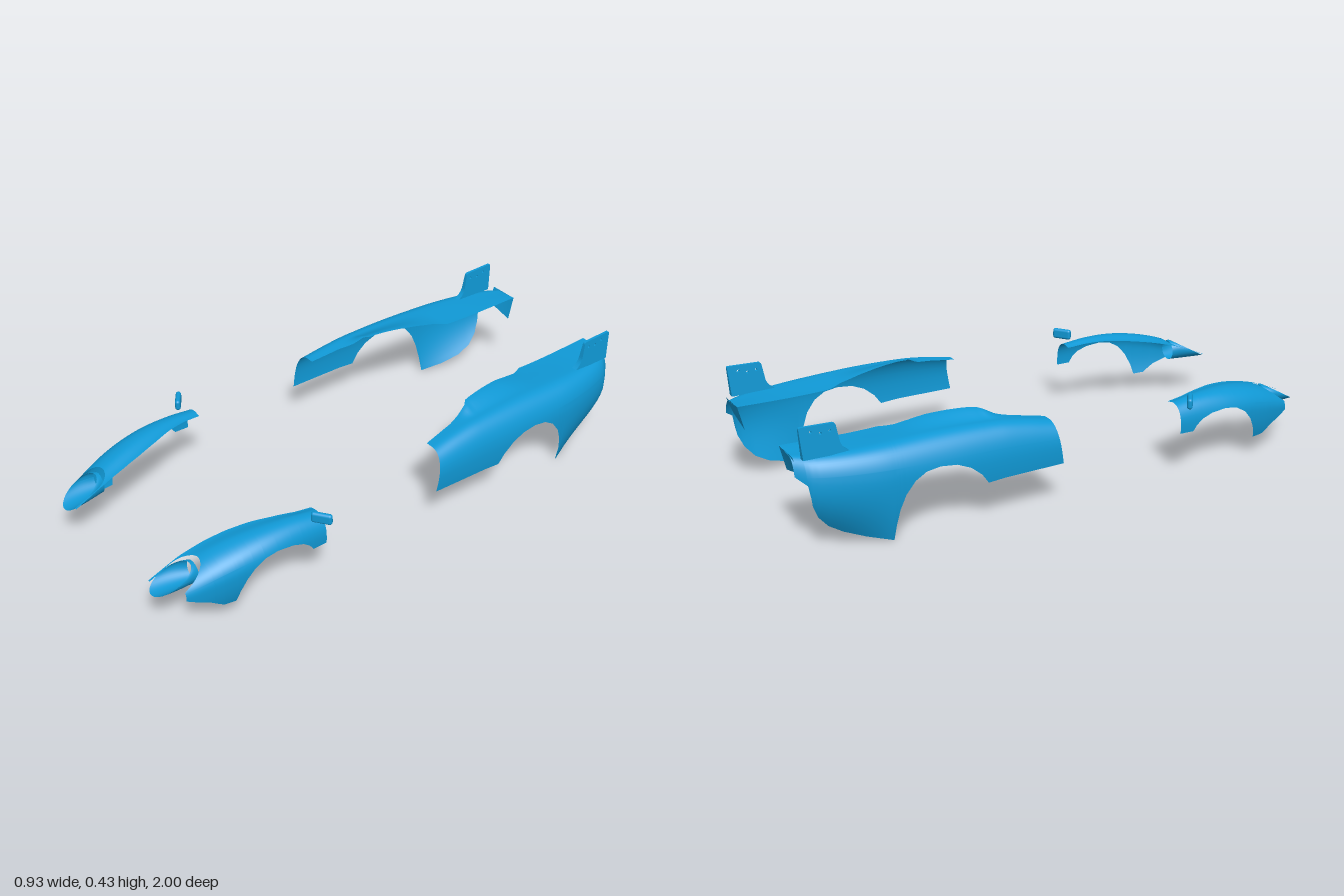
import * as THREE from 'three';
import { RoundedBoxGeometry } from 'three/addons/geometries/RoundedBoxGeometry.js';

const paint = new THREE.MeshStandardMaterial({ color: 0x1099d6, side: THREE.DoubleSide });

// Tables are [z, value] pairs in ascending z
function linear(table, z) {
  let i = 0;
  while (i < table.length - 2 && z > table[i + 1][0]) i++;
  const [z0, a] = table[i], [z1, b] = table[i + 1];
  return a + (b - a) * THREE.MathUtils.clamp((z - z0) / (z1 - z0), 0, 1);
}

function smooth(table, z) {
  let i = 0;
  while (i < table.length - 2 && z > table[i + 1][0]) i++;
  const slope = (k) => {
    const p = table[Math.max(k - 1, 0)], q = table[Math.min(k + 1, table.length - 1)];
    return (q[1] - p[1]) / (q[0] - p[0]);
  };
  const [z0, a] = table[i], [z1, b] = table[i + 1], h = z1 - z0;
  const t = THREE.MathUtils.clamp((z - z0) / h, 0, 1), t2 = t * t, t3 = t2 * t;
  return (2 * t3 - 3 * t2 + 1) * a + (t3 - 2 * t2 + t) * h * slope(i)
    + (3 * t2 - 2 * t3) * b + (t3 - t2) * h * slope(i + 1);
}

// Surface through rows of points
function loft(rows, name) {
  const n = rows[0].length, pos = [], idx = [];
  rows.forEach((r) => r.forEach((p) => pos.push(...p)));
  for (let i = 0; i < rows.length - 1; i++) {
    for (let j = 0; j < n - 1; j++) {
      const a = i * n + j, b = a + n;
      idx.push(a, b, a + 1, b, b + 1, a + 1);
    }
  }
  const g = new THREE.BufferGeometry();
  g.setAttribute('position', new THREE.Float32BufferAttribute(pos, 3));
  g.setIndex(idx);
  g.computeVertexNormals();
  return part(g, name);
}

function part(geometry, name) {
  const m = new THREE.Mesh(geometry, paint);
  m.name = name;
  return m;
}

// Cross-section of a fender: inner roof, rounded shoulder, flank down to the lower edge
const POWER = 2.3;
function section(f, z, { from, to } = {}) {
  const xi = linear(f.innerX, z), yi = smooth(f.innerY, z);
  const xc = smooth(f.crownX, z), yt = smooth(f.crownY, z);
  const xo = smooth(f.outerX, z), ys = smooth(f.waistY, z);
  const yb = linear(f.lowerY, z), tuck = linear(f.tuck, z);
  const roof = (x) => {
    if (x < xc) return yi + (yt - yi) * THREE.MathUtils.smoothstep(x, xi, xc);
    return ys + (yt - ys) * Math.pow(Math.max(0, 1 - Math.pow((x - xc) / (xo - xc), POWER)), 1 / POWER);
  };
  const flank = (y) => y < ys ? xo - tuck * (ys - y) ** 2
    : xc + (xo - xc) * Math.pow(Math.max(0, 1 - Math.pow((y - ys) / (yt - ys), POWER)), 1 / POWER);
  const split = Math.max(yb, ys + 0.42 * (yt - ys)), xs = flank(split);
  const x0 = Math.min(from ?? xi, xs), x1 = to ?? xs, pts = [];
  for (let i = 0; i <= 24; i++) {
    const x = x0 + (x1 - x0) * Math.sin(i / 24 * Math.PI / 2);
    pts.push([x, roof(x), z]);
  }
  if (to === undefined) {
    for (let i = 1; i <= 14; i++) {
      const y = split + (yb - split) * i / 14;
      pts.push([flank(y), y, z]);
    }
  }
  return pts;
}

// Even stations plus every corner of the lower edge
function stations(f, z0, z1, count) {
  const zs = f.lowerY.map((p) => p[0]).filter((z) => z > z0 && z < z1);
  for (let i = 0; i <= count; i++) zs.push(z0 + (z1 - z0) * i / count);
  zs.sort((a, b) => a - b);
  return zs.filter((z, i) => i === 0 || z - zs[i - 1] > 1e-4);
}

const front = {
  innerX: [[0.4, 0.34], [0.47, 0.333], [0.55, 0.312], [0.62, 0.287], [0.7, 0.265], [0.78, 0.25], [0.86, 0.24], [0.98, 0.234]],
  innerY: [[0.4, 0.26], [0.55, 0.272], [0.7, 0.258], [0.85, 0.222], [0.98, 0.17]],
  crownX: [[0.4, 0.37], [0.6, 0.35], [0.8, 0.31], [1, 0.29]],
  crownY: [[0.4, 0.265], [0.5, 0.278], [0.6, 0.28], [0.7, 0.27], [0.8, 0.247], [0.9, 0.208], [1, 0.165]],
  outerX: [[0.4, 0.425], [0.6, 0.428], [0.7, 0.42], [0.8, 0.402], [0.88, 0.38], [0.92, 0.366]],
  waistY: [[0.4, 0.19], [0.7, 0.185], [0.8, 0.17], [0.92, 0.145]],
  lowerY: [[0.4, 0.165], [0.46, 0.165], [0.475, 0.187], [0.5, 0.206], [0.54, 0.22], [0.6, 0.226], [0.65, 0.218],
    [0.69, 0.195], [0.72, 0.16], [0.742, 0.115], [0.752, 0.075], [0.795, 0.077], [0.84, 0.107], [0.92, 0.14]],
  tuck: [[0.4, 1], [0.75, 1.5], [0.92, 1.5]],
};

const rear = {
  innerX: [[-1, 0.195], [-0.75, 0.2], [-0.66, 0.201], [-0.61, 0.225], [-0.52, 0.236], [-0.5, 0.238], [-0.4, 0.258],
    [-0.33, 0.272], [-0.31, 0.29], [-0.22, 0.318], [-0.1, 0.335]],
  innerY: [[-1, 0.325], [-0.8, 0.322], [-0.65, 0.326], [-0.58, 0.337], [-0.5, 0.351], [-0.4, 0.358], [-0.32, 0.353],
    [-0.27, 0.33], [-0.2, 0.317], [-0.1, 0.3]],
  crownX: [[-1, 0.275], [-0.9, 0.315], [-0.75, 0.335], [-0.5, 0.34], [-0.1, 0.36]],
  crownY: [[-1, 0.32], [-0.85, 0.322], [-0.7, 0.328], [-0.5, 0.335], [-0.3, 0.33], [-0.2, 0.318], [-0.1, 0.3]],
  outerX: [[-1, 0.325], [-0.96, 0.358], [-0.9, 0.382], [-0.8, 0.406], [-0.7, 0.42], [-0.5, 0.428], [-0.3, 0.428], [-0.1, 0.425]],
  waistY: [[-1, 0.22], [-0.5, 0.2], [-0.1, 0.2]],
  lowerY: [[-1, 0.262], [-0.968, 0.235], [-0.955, 0.16], [-0.935, 0.115], [-0.9, 0.075], [-0.85, 0.045], [-0.78, 0.02],
    [-0.72, 0.006], [-0.696, 0], [-0.692, 0.06], [-0.682, 0.115], [-0.663, 0.165], [-0.63, 0.208], [-0.59, 0.232],
    [-0.54, 0.24], [-0.48, 0.234], [-0.43, 0.213], [-0.39, 0.18], [-0.365, 0.145], [-0.3, 0.15], [-0.1, 0.153]],
  tuck: [[-0.96, 3.2], [-0.9, 2.4], [-0.7, 0.7], [-0.1, 1]],
};

function frontFender() {
  const g = new THREE.Group();
  g.name = 'frontFender';
  const zh = 0.83;
  g.add(loft(stations(front, 0.405, zh, 40).map((z) => section(front, z)), 'frontFenderShell'));
  // The two strips either side of the headlight opening
  const half = (z) => 0.059 * Math.sqrt(Math.max(0, 1 - (Math.max(0, 0.9 - z) / 0.07) ** 2));
  const near = [...Array(25)].map((_, i) => (i / 24) ** 2);
  g.add(loft(near.map((t) => zh + 0.09 * t).map((z) => section(front, z, { from: 0.301 + half(z) })), 'headlightOuterSurround'));
  g.add(loft(near.map((t) => zh + 0.15 * t).map((z) => section(front, z, { to: 0.301 - half(z) })), 'headlightInnerSurround'));

  // Headlight bucket: round at the back, cut on a slant at the front
  const rings = [];
  for (let i = 0; i <= 8; i++) {
    const t = i / 8, ring = [];
    for (let j = 0; j <= 40; j++) {
      const a = j / 40 * Math.PI * 2, c = Math.cos(a), s = Math.sin(a);
      const rx = 0.037 + 0.014 * Math.sin(t * Math.PI / 2);
      ring.push([0.3 + rx * c - 0.009 * t * (1 - s), 0.19 + 0.038 * s,
        THREE.MathUtils.lerp(0.85, 0.931 - 0.069 * s, t)]);
    }
    rings.push(ring);
  }
  g.add(loft(rings, 'headlightBucket'));

  const mirror = part(new RoundedBoxGeometry(0.074, 0.04, 0.02, 5, 0.0098), 'wingMirror');
  mirror.position.set(0.435, 0.287, 0.432);
  mirror.rotation.y = 0.62;
  g.add(mirror);
  return g;
}

function rearFender() {
  const g = new THREE.Group();
  g.name = 'rearFender';
  // The leading edge leans forward towards the bottom
  const rows = stations(rear, -1, -0.1, 90).map((z) => section(rear, z).map(([x, y]) =>
    [x, y, z + 0.17 * Math.max(0, 0.3 - y) * THREE.MathUtils.smoothstep(z, -0.3, -0.1)]));
  g.add(loft(rows, 'rearFenderShell'));

  // Tail panel hanging below the rear deck
  const panel = [];
  for (let i = 0; i <= 8; i++) {
    const y = 1 - i / 8, row = [];
    for (let j = 0; j <= 10; j++) {
      const t = j / 10;
      row.push([0.195 + 0.115 * t, THREE.MathUtils.lerp(0.236 + 0.028 * t, 0.324, y), -1 + 0.022 * (1 - y)]);
    }
    panel.push(row);
  }
  g.add(loft(panel, 'tailPanel'));

  // Upright fin, thicker at its foot, with three small holes
  const s = new THREE.Shape();
  s.moveTo(0.81, 0.318);
  s.quadraticCurveTo(0.845, 0.335, 0.85, 0.365);
  s.lineTo(0.859, 0.415);
  s.quadraticCurveTo(0.861, 0.424, 0.87, 0.424);
  s.lineTo(0.978, 0.427);
  s.quadraticCurveTo(0.984, 0.427, 0.984, 0.42);
  s.lineTo(0.975, 0.318);
  for (const [u, v] of [[0.88, 0.4], [0.912, 0.397], [0.945, 0.406]]) {
    const h = new THREE.Path();
    h.absarc(u, v, 0.005, 0, Math.PI * 2, true);
    s.holes.push(h);
  }
  const fin = new THREE.ExtrudeGeometry(s, { depth: 2, bevelEnabled: false, curveSegments: 10 });
  const p = fin.attributes.position;
  for (let i = 0; i < p.count; i++) {
    const width = THREE.MathUtils.mapLinear(p.getY(i), 0.318, 0.427, 0.011, 0.005);
    p.setZ(i, 0.329 + (p.getZ(i) - 1) * width);
  }
  fin.rotateY(Math.PI / 2);
  fin.computeVertexNormals();
  g.add(part(fin, 'tailFin'));
  return g;
}

export function createModel() {
  const model = new THREE.Group();
  model.name = 'bodyFenders';
  for (const side of [1, -1]) {
    const half = new THREE.Group();
    half.name = side > 0 ? 'leftFenders' : 'rightFenders';
    half.add(frontFender(), rearFender());
    half.scale.x = side;
    model.add(half);
  }
  return model;
}
